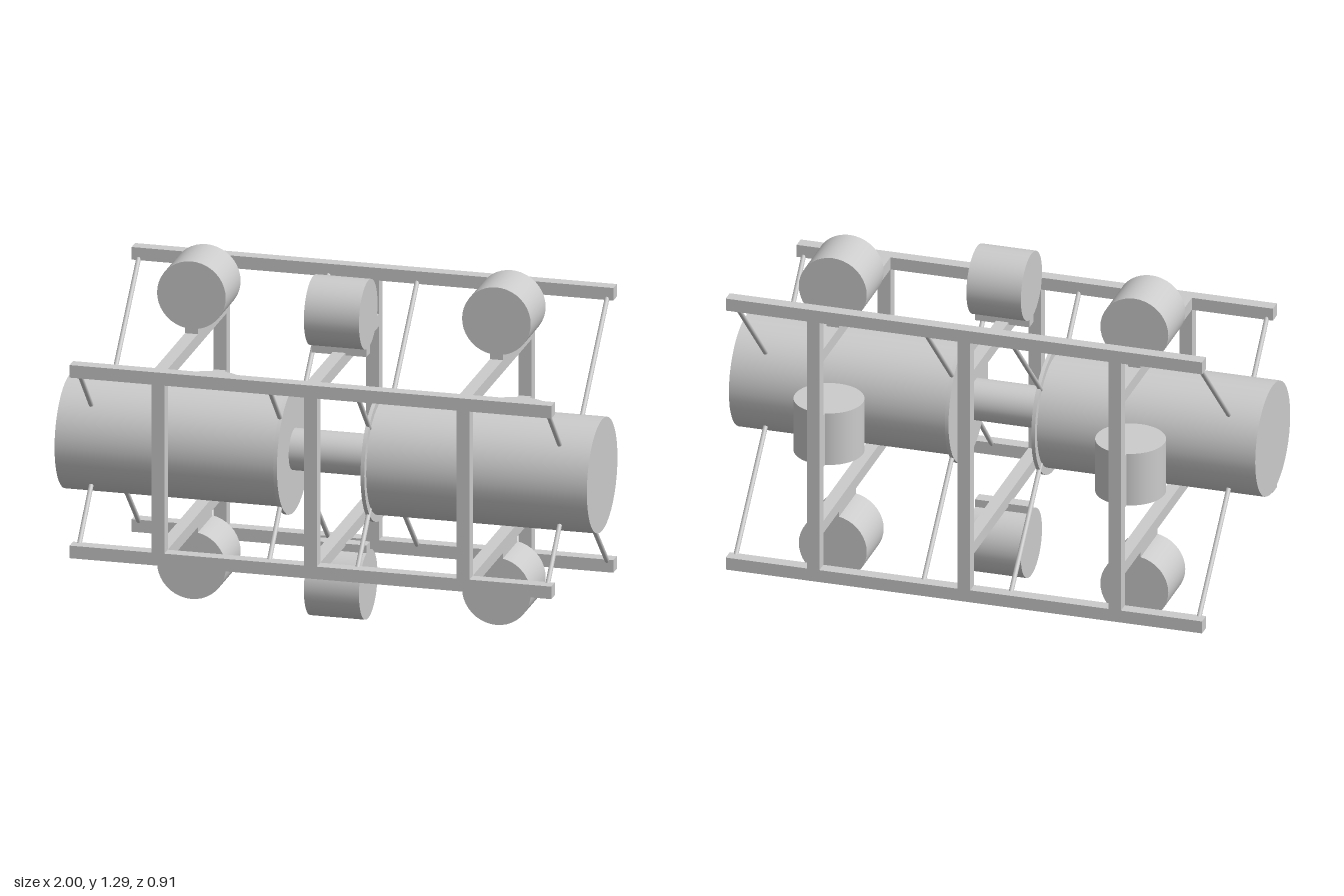
import * as THREE from 'three';

const MID_Y = 0.645;   // height of the main axis
const AXIS_Z = 0.1;    // depth of the main axis
const BAR = 0.048;     // frame bar thickness
const BAYS = [-0.573, 0, 0.573];

export function createModel() {
  const model = new THREE.Group();
  const material = new THREE.MeshStandardMaterial({ color: 0xcccccc });

  const add = (name, geometry, x, y, z, parent = model) => {
    const mesh = new THREE.Mesh(geometry, material);
    mesh.name = name;
    mesh.position.set(x, y, z);
    parent.add(mesh);
    return mesh;
  };
  const box = (name, w, h, d, x, y, z, parent) =>
    add(name, new THREE.BoxGeometry(w, h, d), x, y, z, parent);
  // Cylinder lying along the chosen axis
  const cylinder = (name, r, length, axis, x, y, z, parent) => {
    const g = new THREE.CylinderGeometry(r, r, length, 40);
    if (axis === 'x') g.rotateZ(Math.PI / 2);
    if (axis === 'z') g.rotateX(Math.PI / 2);
    return add(name, g, x, y, z, parent);
  };
  // Thin round rod between two points
  const rod = (name, a, b, r) => {
    const dir = b.clone().sub(a);
    const mesh = add(name, new THREE.CylinderGeometry(r, r, dir.length(), 12), 0, 0, 0);
    mesh.position.copy(a).add(b).multiplyScalar(0.5);
    mesh.quaternion.setFromUnitVectors(new THREE.Vector3(0, 1, 0), dir.normalize());
  };

  // Main drums, their inner flanges and the joining shaft
  for (const s of [-1, 1]) {
    cylinder('mainDrum', 0.213, 0.837, 'x', s * 0.5815, MID_Y, AXIS_Z);
    cylinder('drumFlange', 0.24, 0.014, 'x', s * 0.164, MID_Y, AXIS_Z);
  }
  cylinder('centreShaft', 0.077, 0.34, 'x', 0, MID_Y, AXIS_Z);

  // Long rails: the rear pair is spread wider than the front pair
  const rails = [
    { z: 0.431, h: 0.345 },
    { z: -0.431, h: 0.52 },
  ];
  for (const s of [-1, 1]) {
    for (const { z, h } of rails) {
      box('longRail', 1.81, BAR, BAR, 0, MID_Y + s * h, z);
      // Diagonal braces from the rail to the drum
      for (const x of [-0.88, -0.166, 0.166, 0.88]) {
        const hub = new THREE.Vector3(x, MID_Y, AXIS_Z);
        const outer = new THREE.Vector3(x, MID_Y + s * (h - 0.015), z - Math.sign(z) * 0.015);
        const inner = outer.clone().sub(hub).setLength(0.2).add(hub);
        rod('diagonalBrace', outer, inner, 0.009);
      }
    }
  }

  // Cross frames
  for (const x of BAYS) {
    box('frontPost', BAR, 0.69, BAR, x, MID_Y, 0.431);
    box('rearPost', BAR, 1.04, BAR, x, MID_Y, -0.431);
    for (const s of [-1, 1]) {
      box('crossBar', BAR, BAR, 0.838, x, MID_Y + s * 0.345, 0);
    }
  }

  // Small tanks, each on a narrow pad
  const R = 0.129, L = 0.207;
  for (const s of [-1, 1]) {
    const side = s > 0 ? 'upper' : 'lower';
    const tankY = MID_Y + s * 0.516;
    const padY = MID_Y + s * 0.39;
    for (const x of BAYS) {
      if (x === 0) {
        cylinder(side + 'CentreTank', R, L, 'x', 0, tankY, 0.035);
        box(side + 'CentrePad', L, 0.06, BAR, 0, padY, 0.035);
      } else {
        cylinder(side + 'SideTank', R, L, 'z', x, tankY, -0.113);
        box(side + 'SidePad', BAR, 0.06, L, x, padY, -0.113);
      }
    }
    cylinder('rearTank', R, L, 'y', s * 0.573, MID_Y, -0.262);
    box('rearPad', BAR, L, 0.06, s * 0.573, MID_Y, -0.385);
  }

  return model;
}
